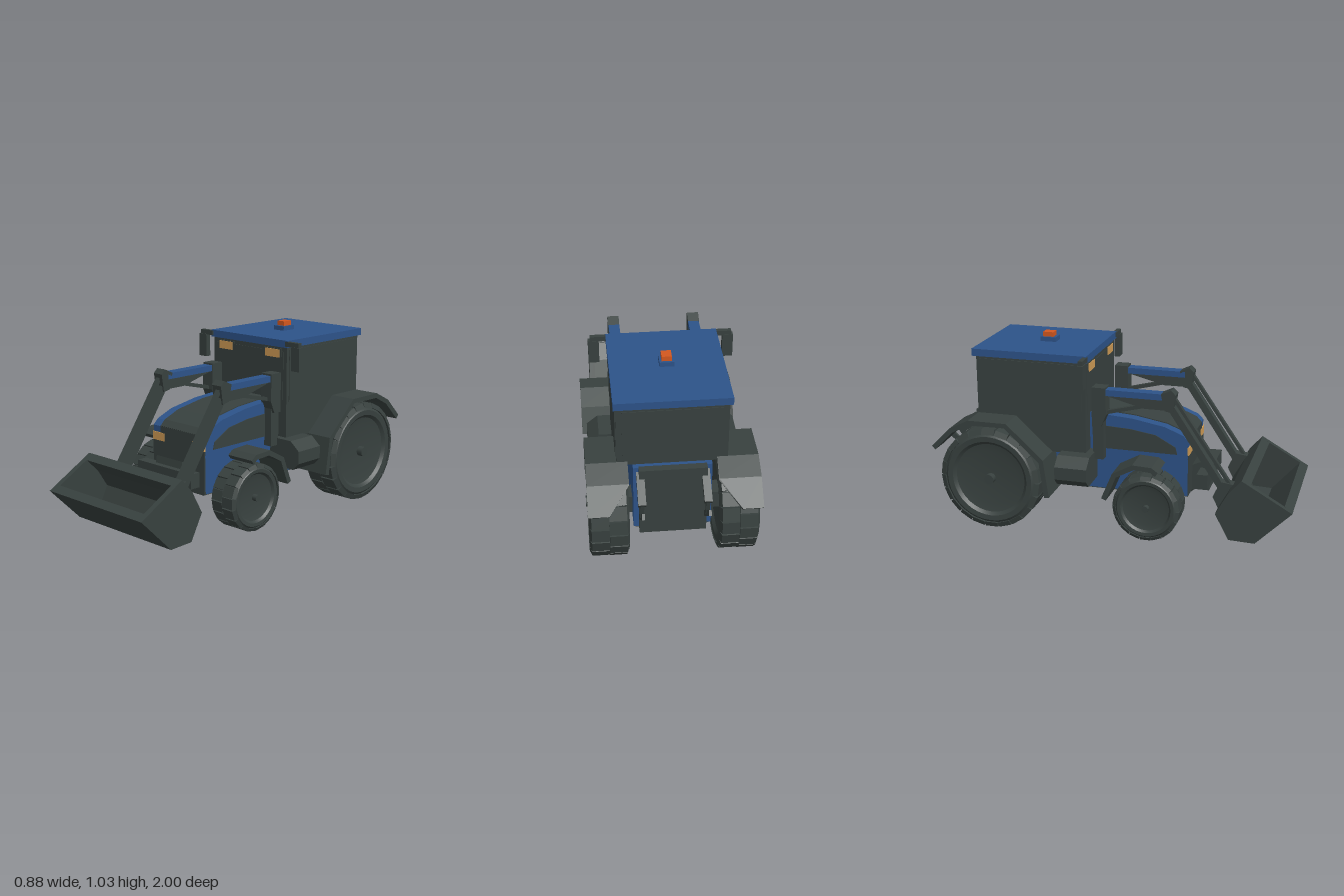
import * as THREE from 'three';
import { mergeGeometries, toCreasedNormals } from 'three/addons/utils/BufferGeometryUtils.js';

export function createModel() {
  const model = new THREE.Group();
  model.name = 'farmTractor';
  const mat = (name, color) => {
    const m = new THREE.MeshStandardMaterial({ color });
    m.name = name;
    return m;
  };
  const dark = mat('darkGrey', 0x38413f);
  const blue = mat('blue', 0x2d5389);
  const orange = mat('beaconOrange', 0xd4581f);
  const amber = mat('lampAmber', 0xd09c56);

  const add = (name, geo, material = dark, parent = model) => {
    const m = new THREE.Mesh(geo, material);
    m.name = name;
    parent.add(m);
    return m;
  };
  // Box given by its limits on each axis
  const box = (name, x0, x1, y0, y1, z0, z1, material) =>
    add(name, new THREE.BoxGeometry(Math.abs(x1 - x0), y1 - y0, z1 - z0)
      .translate((x0 + x1) / 2, (y0 + y1) / 2, (z0 + z1) / 2), material);
  const toShape = pts => new THREE.Shape(pts.map(p => new THREE.Vector2(p[0], p[1])));
  // Side outline of [z, y] points, extruded across x
  const side = (name, pts, xa, xb, material) => {
    const x0 = Math.min(xa, xb), x1 = Math.max(xa, xb);
    const g = new THREE.ExtrudeGeometry(toShape(pts), { depth: x1 - x0, bevelEnabled: false });
    return add(name, g.rotateY(-Math.PI / 2).translate(x1, 0, 0), material);
  };
  // Thickens an open path of [z, y] points into a closed band
  const band = (pts, t) => {
    const off = pts.map((p, i) => {
      const a = pts[Math.max(i - 1, 0)], b = pts[Math.min(i + 1, pts.length - 1)];
      const dz = b[0] - a[0], dy = b[1] - a[1], l = Math.hypot(dz, dy);
      return [p[0] - dy / l * t, p[1] + dz / l * t];
    });
    return [...pts, ...off.reverse()];
  };
  // Straight bar between two [z, y] points
  const bar = (name, a, b, x, width, thick) => {
    const dz = b[0] - a[0], dy = b[1] - a[1];
    const g = new THREE.BoxGeometry(width, thick, Math.hypot(dz, dy))
      .rotateX(-Math.atan2(dy, dz)).translate(x, (a[1] + b[1]) / 2, (a[0] + b[0]) / 2);
    return add(name, g);
  };

  // Hood, chassis and belly
  const hoodTop = [[0.41, 0.53], [0.38, 0.56], [0.28, 0.6], [0.1, 0.632], [-0.14, 0.65]];
  side('hood', [[0.41, 0.215], ...hoodTop, [-0.14, 0.215]], -0.2, 0.2, blue);
  side('chassis', [[-0.14, 0.215], [-0.14, 0.5], [-0.5, 0.595], [-0.785, 0.595], [-0.785, 0.215]], -0.2, 0.2, blue);
  side('hoodCentreStrip', band(hoodTop, -0.005), -0.14, 0.14);
  box('grille', -0.14, 0.14, 0.45, 0.532, 0.405, 0.414);
  box('lowerNose', -0.2, 0.2, 0.215, 0.45, 0.405, 0.414);
  box('bellyPlate', -0.19, 0.19, 0.207, 0.216, -0.78, 0.41);
  box('rearPanel', -0.172, 0.172, 0.2, 0.6, -0.82, -0.78);

  // Cab, roof and beacon
  side('cab', [[-0.14, 0.43], [-0.33, 0.43], [-0.54, 0.6], [-0.76, 0.6], [-0.76, 0.95], [-0.14, 0.95]], -0.28, 0.28);
  box('windscreen', -0.255, 0.255, 0.65, 0.92, -0.142, -0.137);
  box('rearWindow', -0.25, 0.25, 0.64, 0.92, -0.763, -0.758);
  box('roof', -0.295, 0.292, 0.945, 0.985, -0.78, -0.13, blue);
  box('beaconBase', -0.038, 0.038, 0.985, 1.01, -0.475, -0.385, blue);
  box('beacon', -0.026, 0.026, 1.01, 1.036, -0.462, -0.402, orange);

  // Wheel with dished sides and two staggered rows of tread blocks
  const wheel = (name, s, x, y, z, R, h, n) => {
    const group = new THREE.Group();
    group.name = name;
    const half = [[0, 0.72], [0.55, 0.72], [0.7, 0.8], [0.76, 0.95], [0.86, 0.97], [0.94, 0.8], [0.955, 0.4]];
    const profile = [...half.map(p => [p[0], -p[1]]), ...half.slice().reverse()]
      .map(p => new THREE.Vector2(p[0] * R, p[1] * h));
    const tyre = new THREE.LatheGeometry(profile, 36).rotateZ(-Math.PI / 2);
    add('tyre', toCreasedNormals(tyre, 0.45), dark, group);
    const blocks = [];
    for (let i = 0; i < n * 2; i++) {
      const row = i % 2 ? 1 : -1;
      const g = new THREE.BoxGeometry(h * 0.98, R * 0.1, 2 * Math.PI * R / n * 0.9);
      const p = g.attributes.position;
      // Outer shoulder of each block slopes down
      for (let k = 0; k < p.count; k++)
        if (p.getX(k) * row > 0 && p.getY(k) > 0) p.setX(k, p.getX(k) * 0.75);
      g.computeVertexNormals();
      blocks.push(g.translate(row * h * 0.5, R * 0.95, 0).rotateX(i * Math.PI / n));
    }
    add('treadBlocks', mergeGeometries(blocks), dark, group);
    add('hub', new THREE.CylinderGeometry(R * 0.1, R * 0.1, h * 0.4, 12)
      .rotateZ(Math.PI / 2).translate(s * h * 0.85, 0, 0), dark, group);
    group.position.set(s * x, y, z);
    model.add(group);
  };

  for (const s of [-1, 1]) {
    // Hood side vent
    side('hoodVent', [[0.35, 0.45], [0.34, 0.49], [0.23, 0.55], [0.09, 0.572], [-0.07, 0.58],
      [-0.085, 0.565], [-0.085, 0.45]], s * 0.197, s * 0.204);
    box('headlight', s * 0.11, s * 0.201, 0.45, 0.495, 0.407, 0.416, amber);
    // Work lamps under the roof
    box('workLampFrame', s * 0.115, s * 0.242, 0.876, 0.935, -0.142, -0.135);
    box('workLamp', s * 0.128, s * 0.23, 0.885, 0.93, -0.138, -0.131, amber);
    // Mirrors
    box('mirrorArm', s * 0.28, s * 0.375, 0.953, 0.98, -0.15, -0.125);
    box('mirror', s * 0.328, s * 0.385, 0.825, 0.956, -0.152, -0.12);
    // Door window plate
    box('doorWindow', s * 0.278, s * 0.284, 0.64, 0.93, -0.74, -0.16);

    wheel('rearWheel', s, 0.33, 0.29, -0.65, 0.284, 0.104, 22);
    wheel('frontWheel', s, 0.322, 0.2, 0.225, 0.182, 0.085, 18);

    // Rear fender, tail tapered on its inner corner
    const fender = side('rearFender', band([[-0.305, 0.22], [-0.335, 0.43], [-0.54, 0.62],
      [-0.76, 0.62], [-0.87, 0.565], [-0.98, 0.455]], 0.028), s * 0.225, s * 0.435);
    const p = fender.geometry.attributes.position;
    for (let i = 0; i < p.count; i++)
      if (p.getZ(i) < -0.93 && Math.abs(p.getX(i)) < 0.3) p.setX(i, s * 0.33);
    fender.geometry.computeVertexNormals();

    // Front fender and its stay
    side('frontFender', band([[0.3, 0.425], [0.265, 0.45], [0.16, 0.455], [0.05, 0.395], [-0.01, 0.25]], 0.028),
      s * 0.265, s * 0.435);
    box('fenderStay', s * 0.19, s * 0.3, 0.39, 0.42, 0.17, 0.21);

    // Side step tank with chamfered outer edges
    const tank = [[0.2, 0.28], [0.37, 0.28], [0.41, 0.32], [0.41, 0.39], [0.35, 0.44], [0.2, 0.44]];
    add('sideTank', new THREE.ExtrudeGeometry(toShape(tank.map(q => [q[0] * s, q[1]])),
      { depth: 0.18, bevelEnabled: false }).translate(0, 0, -0.28));

    // Front lift mast, arm and cylinders
    const ax = s * 0.228;
    side('liftMast', [[-0.035, 0.81], [-0.11, 0.81], [-0.11, 0.59], [-0.06, 0.59], [-0.03, 0.66]],
      s * 0.19, s * 0.265);
    box('mastFoot', s * 0.19, s * 0.25, 0.4, 0.62, -0.11, -0.05);
    box('upperArm', s * 0.196, s * 0.257, 0.766, 0.8, -0.05, 0.3, blue);
    side('upperArmWeb', [[-0.04, 0.766], [0.31, 0.766], [0.32, 0.71], [0.18, 0.71]], s * 0.205, s * 0.25);
    side('elbow', [[0.27, 0.8], [0.325, 0.825], [0.35, 0.8], [0.335, 0.7], [0.29, 0.71]], s * 0.196, s * 0.26);
    bar('lowerArm', [0.3, 0.76], [0.64, 0.25], ax, 0.046, 0.038);
    bar('bucketCylinder', [0.335, 0.78], [0.665, 0.3], s * 0.233, 0.028, 0.017);
    bar('liftCylinder', [0.19, 0.725], [-0.05, 0.665], ax, 0.024, 0.02);
    side('bucketBracket', [[0.67, 0.33], [0.6, 0.34], [0.56, 0.25], [0.59, 0.19], [0.63, 0.22]],
      s * 0.2, s * 0.258);

    // Rear hitch links
    bar('hitchLiftArm', [-0.78, 0.56], [-0.92, 0.46], s * 0.165, 0.04, 0.03);
    bar('hitchLiftRod', [-0.91, 0.47], [-0.89, 0.37], s * 0.165, 0.02, 0.02);
    bar('hitchLowerLink', [-0.8, 0.29], [-0.99, 0.45], s * 0.165, 0.014, 0.03);
  }

  // Axles
  box('frontAxle', -0.27, 0.27, 0.165, 0.23, 0.19, 0.26);
  box('rearAxle', -0.27, 0.27, 0.24, 0.34, -0.7, -0.6);

  // Nose bumper
  side('noseBracket', [[0.41, 0.36], [0.48, 0.39], [0.51, 0.22], [0.41, 0.22]], -0.1, 0.1);
  box('frontBar', -0.21, 0.21, 0.27, 0.35, 0.46, 0.52);

  // Bucket: open shell with a plate at each end
  const outer = [[1, 0.245], [0.81, 0.055], [0.67, 0.06], [0.595, 0.2], [0.66, 0.32], [0.73, 0.4]];
  const inner = [[0.775, 0.374], [0.7, 0.3], [0.64, 0.205], [0.69, 0.1], [0.8, 0.095], [0.955, 0.271]];
  side('bucketShell', [...outer, ...inner], -0.335, 0.335);
  for (const s of [-1, 1]) side('bucketEnd', outer, s * 0.335, s * 0.367);

  return model;
}
